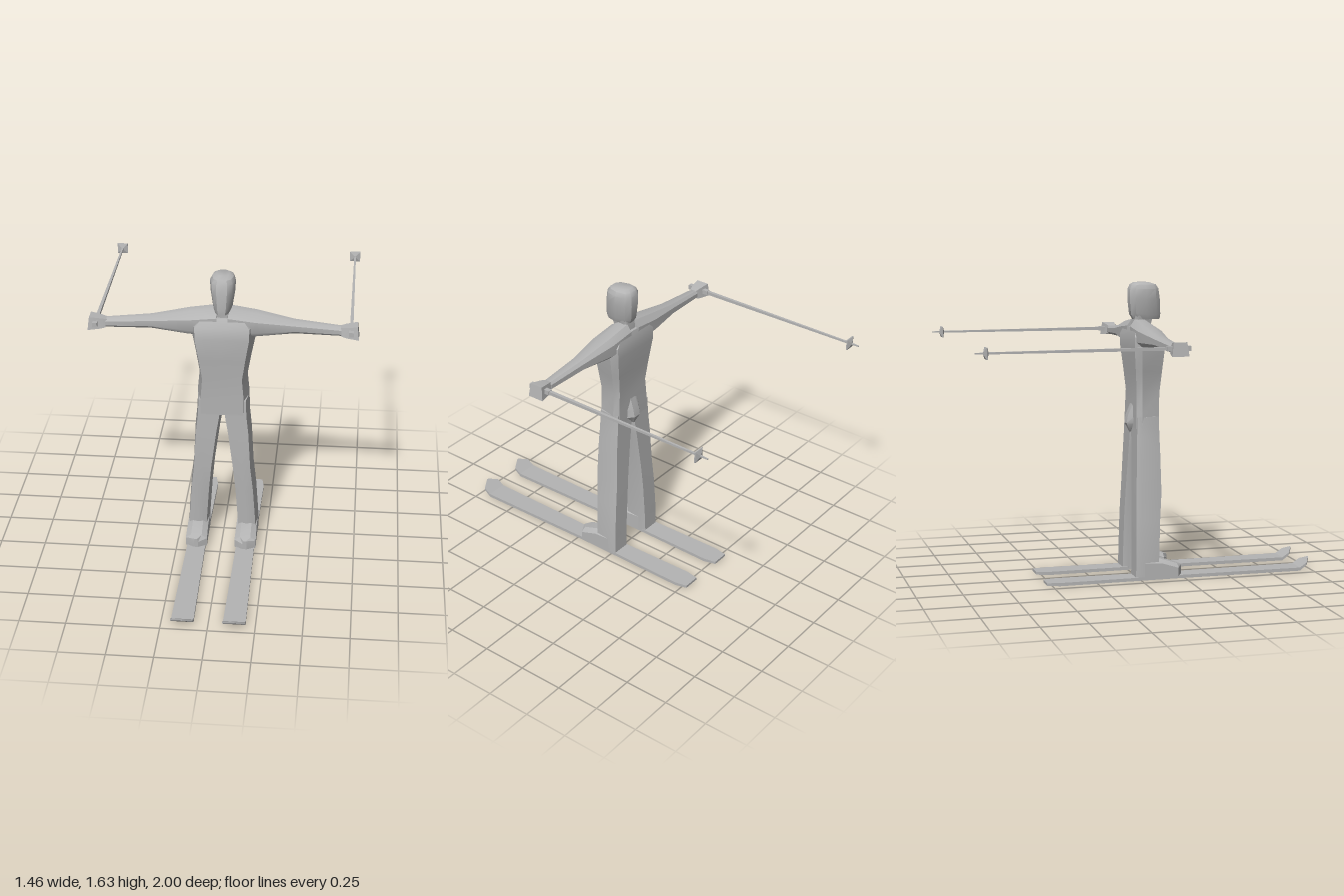
import * as THREE from 'three';
import { toCreasedNormals } from 'three/addons/utils/BufferGeometryUtils.js';

const suit = new THREE.MeshStandardMaterial({ color: 0xb4b4b4 });
suit.name = 'grey';

// Closed skin over rings of [x, y, z] points; winding is fixed from the signed volume.
function loft(rings, crease = 0.6) {
  const n = rings[0].length;
  const pts = rings.flat().map((p) => new THREE.Vector3(...p));
  const tris = [];
  for (let r = 0; r < rings.length - 1; r++) {
    for (let i = 0; i < n; i++) {
      const a = r * n + i, b = r * n + ((i + 1) % n);
      tris.push([a, b, b + n], [a, b + n, a + n]);
    }
  }
  const last = (rings.length - 1) * n;
  for (let i = 1; i < n - 1; i++) {
    tris.push([0, i + 1, i], [last, last + i, last + i + 1]);
  }
  let volume = 0;
  for (const [a, b, c] of tris) volume += pts[a].dot(pts[b].clone().cross(pts[c]));
  const index = tris.flatMap(([a, b, c]) => (volume < 0 ? [a, c, b] : [a, b, c]));
  const g = new THREE.BufferGeometry();
  g.setFromPoints(pts);
  g.setIndex(index);
  return toCreasedNormals(g, crease);
}

// Horizontal body section: narrower front with an optional ridge, widest near the back.
function bodyRing(y, x0, x1, z0, z1, ridge = 0) {
  const cx = (x0 + x1) / 2, h = (x1 - x0) / 2, d = z1 - z0;
  return [
    [cx + 0.82 * h, y, z1 - ridge], [cx + h, y, z0 + 0.2 * d], [cx + 0.85 * h, y, z0],
    [cx - 0.85 * h, y, z0], [cx - h, y, z0 + 0.2 * d], [cx - 0.82 * h, y, z1 - ridge],
    [cx, y, z1],
  ];
}

// Section of an arm at distance x from the middle.
function armRing(x, y0, y1, z0, z1) {
  const h = y1 - y0, d = z1 - z0;
  return [
    [x, y0, z0 + 0.25 * d], [x, y0 + 0.05 * h, z1 - 0.12 * d], [x, y0 + 0.25 * h, z1],
    [x, y0 + 0.75 * h, z1], [x, y1, z0 + 0.6 * d], [x, y1, z0 + 0.2 * d],
    [x, y0 + 0.75 * h, z0], [x, y0 + 0.25 * h, z0],
  ];
}

export function createModel() {
  const model = new THREE.Group();
  const add = (name, geometry, parent = model) => {
    const mesh = new THREE.Mesh(geometry, suit);
    mesh.name = name;
    parent.add(mesh);
    return mesh;
  };

  // Torso: [y, half width, back z, front z]
  add('torso', loft([
    [0.81, 0.145, -0.008, 0.118], [0.92, 0.143, -0.008, 0.12], [1.03, 0.132, -0.005, 0.125],
    [1.15, 0.153, -0.015, 0.135], [1.275, 0.178, -0.027, 0.145],
    [1.34, 0.18, -0.027, 0.135], [1.388, 0.13, -0.015, 0.105],
  ].map(([y, h, z0, z1]) => bodyRing(y, -h, h, z0, z1))));

  // Seat bulge at the back of the hips
  add('seat', loft([
    [0.805, 0.012, -0.015], [0.855, 0.06, -0.038], [0.9, 0.06, -0.03], [0.97, 0.045, -0.004],
  ].map(([y, h, z]) => [[-h, y, 0.05], [h, y, 0.05], [h, y, 0], [h * 0.4, y, z], [-h * 0.4, y, z], [-h, y, 0]])));

  // Neck widening into the hood
  add('neck', loft([
    [1.35, 0.05, 0, 0.1], [1.385, 0.032, 0, 0.095], [1.45, 0.046, 0.01, 0.11],
  ].map(([y, h, z0, z1]) => bodyRing(y, -h, h, z0, z1))));

  // Hooded head: [y, half width, back z, front z]
  add('head', loft([
    [1.428, 0.042, 0.005, 0.152], [1.455, 0.053, -0.012, 0.155], [1.54, 0.066, -0.02, 0.15],
    [1.595, 0.069, -0.018, 0.142], [1.618, 0.058, -0.008, 0.128], [1.63, 0.036, 0.01, 0.09],
  ].map(([y, h, z0, z1]) => {
    const d = z1 - z0;
    return [
      [h * 0.42, y, z1], [h * 0.8, y, z1 - 0.15 * d], [h, y, z0 + 0.5 * d], [h * 0.85, y, z0 + 0.14 * d],
      [h * 0.4, y, z0], [-h * 0.4, y, z0], [-h * 0.85, y, z0 + 0.14 * d], [-h, y, z0 + 0.5 * d],
      [-h * 0.8, y, z1 - 0.15 * d], [-h * 0.42, y, z1],
    ];
  })));

  for (const s of [1, -1]) {
    const side = new THREE.Group();
    side.name = s > 0 ? 'leftSide' : 'rightSide';
    model.add(side);
    const flip = (rings) => rings.map((r) => r.map(([x, y, z]) => [s * x, y, z]));

    // Arm with the shoulder slope at its inner end
    add('arm', loft(flip([
      armRing(0.03, 1.28, 1.428, -0.02, 0.115), armRing(0.18, 1.282, 1.405, -0.02, 0.115),
      armRing(0.385, 1.303, 1.366, 0.008, 0.09), armRing(0.635, 1.297, 1.343, 0.025, 0.082),
    ])), side);

    // Hand flaring outwards
    add('hand', loft(flip([
      [0.63, 0.635, 1.297, 1.343, 0.025, 0.082], [0.66, 0.665, 1.293, 1.35, 0.018, 0.092],
      [0.721, 0.73, 1.286, 1.359, 0.008, 0.1],
    ].map(([xt, xb, y0, y1, z0, z1]) => [[xb, y0, z0], [xb, y0, z1], [xt, y1, z1 - 0.01], [xt, y1, z0 + 0.01]])), 0.4), side);

    // Leg: [y, inner x, outer x, back z, front z, ridge depth]
    add('leg', loft(flip([
      [0.02, 0.08, 0.198, -0.03, 0.115, 0.015], [0.12, 0.078, 0.198, -0.028, 0.118, 0.015],
      [0.33, 0.064, 0.184, -0.025, 0.122, 0.01], [0.48, 0.05, 0.168, -0.02, 0.124, 0],
      [0.7, 0.02, 0.157, -0.012, 0.12, 0], [0.8, 0.003, 0.147, -0.009, 0.118, 0],
      [0.9, 0, 0.142, -0.006, 0.116, 0],
    ].map((a) => bodyRing(...a)))), side);

    // Boot with a pointed toe: [z, half width, top]
    add('boot', loft(flip([
      [0, 0.058, 0.12], [0.115, 0.058, 0.113], [0.212, 0.06, 0.082], [0.24, 0.012, 0.072],
    ].map(([z, h, t]) => [
      [0.138 - h, 0.015, z], [0.138 + h, 0.015, z], [0.138 + h, t - 0.02, z],
      [0.138 + h * 0.5, t, z], [0.138 - h * 0.5, t, z], [0.138 - h, t - 0.02, z],
    ])), 0.4), side);

    // Ski with a raised, pointed tip: [z, half width, bottom, top]
    add('ski', loft([
      [-0.53, 0.047, 0.005, 0.019], [-0.46, 0.06, 0.001, 0.019], [0.2, 0.051, 0.001, 0.019],
      [0.93, 0.06, 0.001, 0.019], [0.97, 0.06, 0.033, 0.046], [1, 0.006, 0.057, 0.068],
    ].map(([z, h, b, t]) => [-h, h].map((x) => [s * 0.138 + x, b, z])
      .concat([h, -h].map((x) => [s * 0.138 + x, t, z]))), 0.2), side);

    // Ski pole pointing backwards, square in section
    const pole = new THREE.Group();
    pole.name = 'pole';
    pole.position.set(s * 0.688, 1.325, 0);
    side.add(pole);
    const square = (z, h) => [[-h, -h, z], [h, -h, z], [h, h, z], [-h, h, z]];
    add('grip', loft([square(0.118, 0.013), square(-0.01, 0.012)]), pole);
    add('shaft', loft([square(0, 0.009), square(-0.94, 0.005), square(-1, 0.003)]), pole);
    add('basket', loft([square(-0.932, 0.006), square(-0.94, 0.03), square(-0.946, 0.03), square(-0.956, 0.007)], 0.3), pole);
  }
  return model;
}
